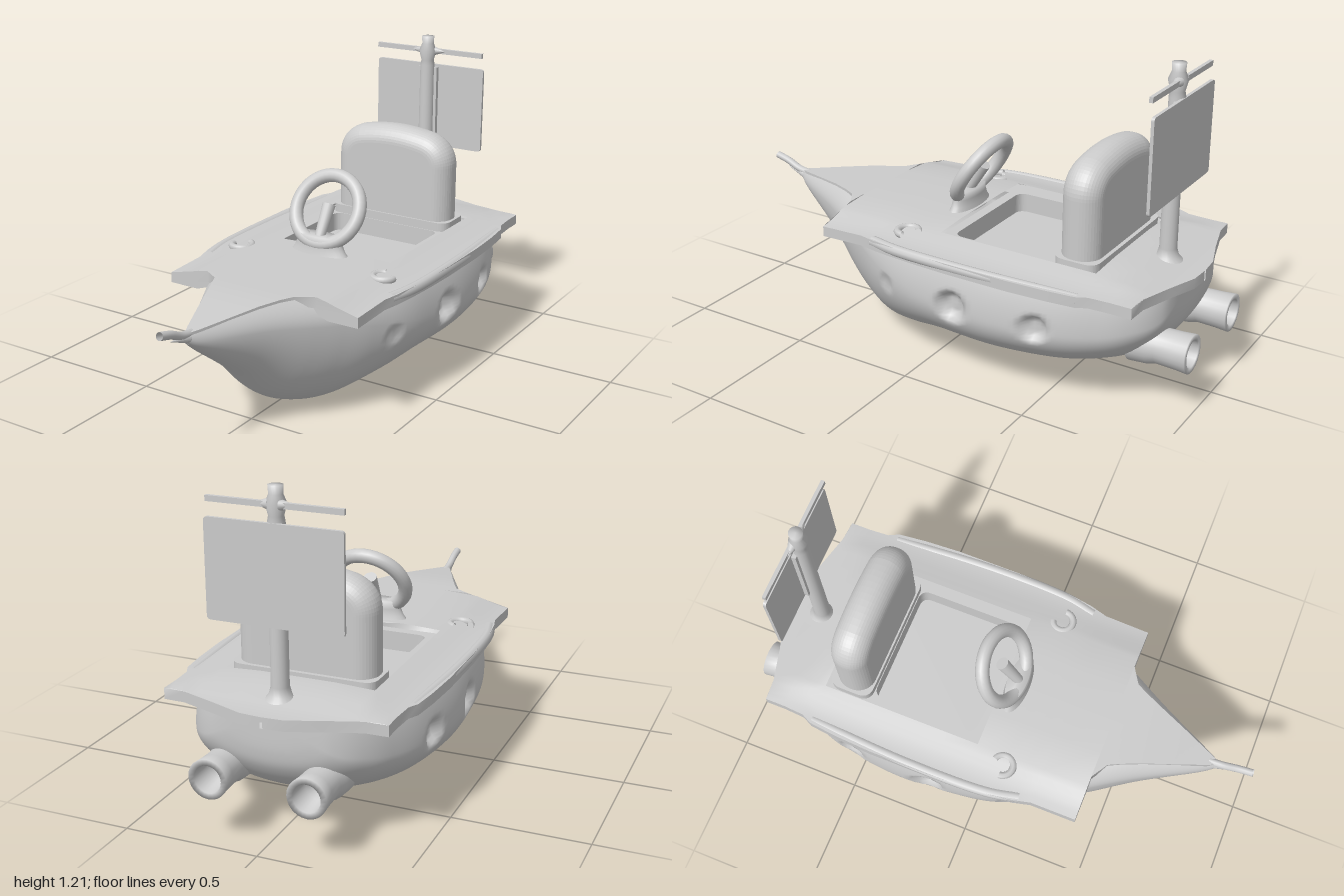
import * as THREE from 'three';
import { toCreasedNormals } from 'three/addons/utils/BufferGeometryUtils.js';

const mat = new THREE.MeshStandardMaterial({ color: 0xcccccc, side: THREE.DoubleSide });
const V = (x, y, z) => new THREE.Vector3(x, y, z);
const smooth = THREE.MathUtils.smoothstep;

function add(group, name, geometry, x = 0, y = 0, z = 0) {
  const mesh = new THREE.Mesh(geometry, mat);
  mesh.name = name;
  mesh.position.set(x, y, z);
  group.add(mesh);
  return mesh;
}

function indexed(pos, idx) {
  const g = new THREE.BufferGeometry();
  g.setAttribute('position', new THREE.Float32BufferAttribute(pos, 3));
  g.setIndex(idx);
  g.computeVertexNormals();
  return g;
}

// Height of the deck along its centre line
const crown = z => 0.51 - Math.max(0.04 * smooth(z, 0.5, 0.95), 0.035 * smooth(-z, 0.68, 0.94));

// Hull lofted through stations: [z, keel height, half width, height of the widest point]
function hullGeometry() {
  const stations = [
    [0.865, 0.44, 0.01, 0.455], [0.8, 0.385, 0.05, 0.435], [0.6, 0.23, 0.155, 0.42],
    [0.45, 0.085, 0.245, 0.4], [0.35, 0.025, 0.305, 0.385], [0.24, 0, 0.365, 0.36],
    [0.1, 0.025, 0.42, 0.33], [-0.05, 0.055, 0.445, 0.31], [-0.3, 0.065, 0.46, 0.3],
    [-0.55, 0.09, 0.43, 0.3], [-0.72, 0.135, 0.37, 0.31], [-0.82, 0.19, 0.31, 0.33],
    [-0.88, 0.26, 0.24, 0.35], [-0.902, 0.33, 0.16, 0.39], [-0.905, 0.44, 0.01, 0.45],
  ];
  const lines = new THREE.CatmullRomCurve3(stations.map(s => V(s[0], s[1], s[2])), false, 'catmullrom');
  const wides = new THREE.CatmullRomCurve3(stations.map(s => V(s[3], 0, 0)), false, 'catmullrom');
  // Porthole dimples: z, y, radius, depth
  const dents = [[-0.17, 0.31, 0.07, 0.045], [-0.5, 0.31, 0.06, 0.035], [0.15, 0.3, 0.045, 0.01]];
  const rows = 160, cols = 80, pos = [], idx = [];
  for (let i = 0; i <= rows; i++) {
    const s = lines.getPoint(i / rows), wide = wides.getPoint(i / rows).x;
    // The bow rounds over into the foredeck, the rest tucks under the deck edge
    const bow = smooth(s.x, 0.36, 0.46);
    const top = THREE.MathUtils.lerp(0.46, crown(s.x) - 0.008, bow), tuck = 0.07 + 0.2 * bow;
    for (let j = 0; j <= cols; j++) {
      const a = 1 - 2 * j / cols, t = Math.abs(a);
      let x, y;
      if (t < 0.7) {
        const q = t / 0.7 * Math.PI / 2;
        x = s.z * Math.sin(q);
        y = s.y + (wide - s.y) * (1 - Math.cos(q));
      } else {
        const q = (t - 0.7) / 0.3;
        x = s.z * (1 - tuck * q * q);
        y = wide + (top - wide) * q;
      }
      for (const [dz, dy, r, depth] of dents) {
        const d = Math.hypot(s.x - dz, y - dy) / r;
        if (x > 0.2) x -= depth * (1 - smooth(d, 0.45, 1));
      }
      pos.push(Math.sign(a) * x, y, s.x);
      if (i < rows && j < cols) {
        const p = i * (cols + 1) + j, n = p + cols + 1;
        idx.push(p, p + 1, n, p + 1, n + 1, n);
      }
    }
  }
  return indexed(pos, idx);
}

// Crowned deck: rows of [z, half width], each a section with a lip, leaving the cockpit open
function deckGeometry() {
  const rows = [[0.86, 0.006], [0.82, 0.025], [0.7, 0.075], [0.6, 0.115], [0.52, 0.15], [0.47, 0.175], [0.43, 0.24],
    [0.43, 0.41], [0.25, 0.412], [0.18, 0.43], [0.1, 0.442], [-0.02, 0.45], [-0.15, 0.455], [-0.4, 0.455],
    [-0.55, 0.447], [-0.66, 0.435], [-0.7, 0.415], [-0.78, 0.41], [-0.86, 0.41], [-0.865, 0.33],
    [-0.9, 0.2], [-0.94, 0.08], [-0.945, 0.005]];
  const pos = [], idx = [], cols = 21;
  rows.forEach(([z, w], i) => {
    const inner = Math.min(0.28, w * 0.68), half = [];
    const edgeDrop = 0.03 + 0.012 * smooth(z, 0.1, 0.43);
    const top = x => Math.min(crown(z), 0.51 - edgeDrop * smooth(x, 0.22, 0.42));
    for (const x of [0, inner / 2, inner]) half.push([x, top(x)]);
    for (let k = 1; k <= 5; k++) {
      const x = inner + (w - inner) * k / 5;
      half.push([x, top(x)]);
    }
    const under = top(w) - 0.04, reach = z < -0.8 ? 0 : 0.7;
    half.push([w, under], [w * 0.85, under], [w * reach, under]);
    const section = [...half.slice(1).map(([x, y]) => [-x, y]).reverse(), ...half];
    section.forEach(([x, y], j) => {
      pos.push(x, y, z);
      if (i === rows.length - 1 || j === cols - 1) return;
      const inCockpit = z <= -0.02 && z > -0.66 && j >= 8 && j < 12;
      const p = i * cols + j, n = p + cols;
      if (!inCockpit) idx.push(p, p + 1, n, p + 1, n + 1, n);
    });
  });
  return toCreasedNormals(indexed(pos, idx), 0.6);
}

// Rounded rectangle in x and z
function roundedRect(shape, w, z0, z1, r) {
  shape.moveTo(-w + r, z0);
  shape.lineTo(w - r, z0).quadraticCurveTo(w, z0, w, z0 + r);
  shape.lineTo(w, z1 - r).quadraticCurveTo(w, z1, w - r, z1);
  shape.lineTo(-w + r, z1).quadraticCurveTo(-w, z1, -w, z1 - r);
  shape.lineTo(-w, z0 + r).quadraticCurveTo(-w, z0, -w + r, z0);
  return shape;
}

// Flat plate drawn in x and z, hanging below its own y = 0
function plate(shape, depth) {
  return new THREE.ExtrudeGeometry(shape, { depth, bevelEnabled: false }).rotateX(Math.PI / 2);
}

// Seat back: arched outline with a full round edge
function seatGeometry() {
  const s = new THREE.Shape();
  s.moveTo(-0.19, 0.5);
  s.lineTo(0.19, 0.5).lineTo(0.19, 0.74).quadraticCurveTo(0.19, 0.785, 0.14, 0.8);
  s.quadraticCurveTo(0, 0.83, -0.14, 0.8).quadraticCurveTo(-0.19, 0.785, -0.19, 0.74);
  return new THREE.ExtrudeGeometry(s, {
    depth: 0.01, bevelSize: 0.07, bevelThickness: 0.07, bevelSegments: 10, curveSegments: 12,
  });
}

export function createModel() {
  const boat = new THREE.Group();
  boat.name = 'boat';
  add(boat, 'hull', hullGeometry());
  add(boat, 'deck', deckGeometry());

  // Cockpit: stepped ledge around a sunken floor
  const ledge = roundedRect(new THREE.Shape(), 0.29, -0.67, -0.01, 0.01);
  ledge.holes.push(roundedRect(new THREE.Path(), 0.24, -0.475, -0.05, 0.04));
  add(boat, 'cockpitLedge', plate(ledge, 0.09), 0, 0.485, 0);
  add(boat, 'cockpitFloor', new THREE.BoxGeometry(0.56, 0.02, 0.62), 0, 0.4, -0.34);

  // Seat
  add(boat, 'seatBack', seatGeometry(), 0, 0, -0.565);
  add(boat, 'seatBase', plate(roundedRect(new THREE.Shape(), 0.272, -0.65, -0.478, 0.05), 0.05), 0, 0.52, 0);

  // Bowsprit
  const sprit = new THREE.CatmullRomCurve3([V(0, 0.46, 0.8), V(0, 0.472, 0.88), V(0, 0.497, 0.94), V(0, 0.512, 0.995)]);
  add(boat, 'bowsprit', new THREE.TubeGeometry(sprit, 16, 0.015, 10));
  add(boat, 'bowCollar', new THREE.ConeGeometry(0.03, 0.15, 16).rotateX(Math.PI / 2 - 0.2), 0, 0.458, 0.87);

  // Steering wheel on its stand
  const wheel = new THREE.Group();
  wheel.name = 'steeringWheel';
  wheel.position.set(0, 0.665, -0.02);
  wheel.rotation.x = -0.54;
  add(wheel, 'wheelRim', new THREE.TorusGeometry(0.137, 0.027, 14, 40));
  add(wheel, 'wheelColumn', new THREE.CylinderGeometry(0.026, 0.02, 0.13, 14), 0, -0.045, 0);
  boat.add(wheel);
  const stand = [[0.13, 0.5], [0.11, 0.525], [0.1, 0.55], [0.1, 0.58], [0, 0.58]].map(p => new THREE.Vector2(...p));
  add(boat, 'wheelStand', new THREE.LatheGeometry(stand, 28).scale(1, 1, 0.38), 0, 0, 0.035);

  // Mast with its panel, sleeve and yard
  const mast = [[0.06, 0.48], [0.04, 0.5], [0.032, 0.53], [0.03, 1.09], [0.026, 1.11], [0.036, 1.15],
    [0.024, 1.18], [0.026, 1.21], [0, 1.21]].map(p => new THREE.Vector2(...p));
  add(boat, 'mast', new THREE.LatheGeometry(mast, 20), 0, 0, -0.8);
  const panel = roundedRect(new THREE.Shape(), 0.248, 0.74, 1.09, 0.015);
  add(boat, 'mastPanel', new THREE.ExtrudeGeometry(panel, { depth: 0.012, bevelEnabled: false }), 0, 0, -0.832);
  add(boat, 'mastSleeve', new THREE.BoxGeometry(0.085, 0.33, 0.02), 0, 0.915, -0.812);
  add(boat, 'yard', new THREE.BoxGeometry(0.49, 0.02, 0.014), 0, 1.148, -0.815);
  for (const side of [1, -1]) {
    add(boat, 'yardFlare', new THREE.ConeGeometry(0.02, 0.06, 12).rotateZ(-side * Math.PI / 2), side * 0.05, 1.148, -0.81);

    // Hollow exhaust at the stern
    const pipe = [[0.08, 0], [0.075, 0.07], [0.066, 0.1], [0.068, 0.17], [0.072, 0.22], [0.05, 0.22],
      [0.045, 0.13], [0, 0.12]].map(p => new THREE.Vector2(...p));
    add(boat, 'exhaust', new THREE.LatheGeometry(pipe, 24).rotateX(-Math.PI / 2), side * 0.18, 0.24, -0.77);

    // Side rail, running along the deck edge
    const rail = new THREE.CatmullRomCurve3([V(side * 0.405, 0.462, 0.2), V(side * 0.43, 0.464, 0.08),
      V(side * 0.438, 0.465, -0.25), V(side * 0.415, 0.462, -0.66)]);
    add(boat, 'sideRail', new THREE.TubeGeometry(rail, 40, 0.021, 10));

    // Cleat, half sunk in the deck
    const cleat = new THREE.TorusGeometry(0.04, 0.014, 8, 20, Math.PI * 1.4).rotateX(Math.PI / 2);
    add(boat, 'cleat', cleat.scale(side, 1, 1), side * 0.32, 0.495, 0.1);
  }
  return boat;
}
